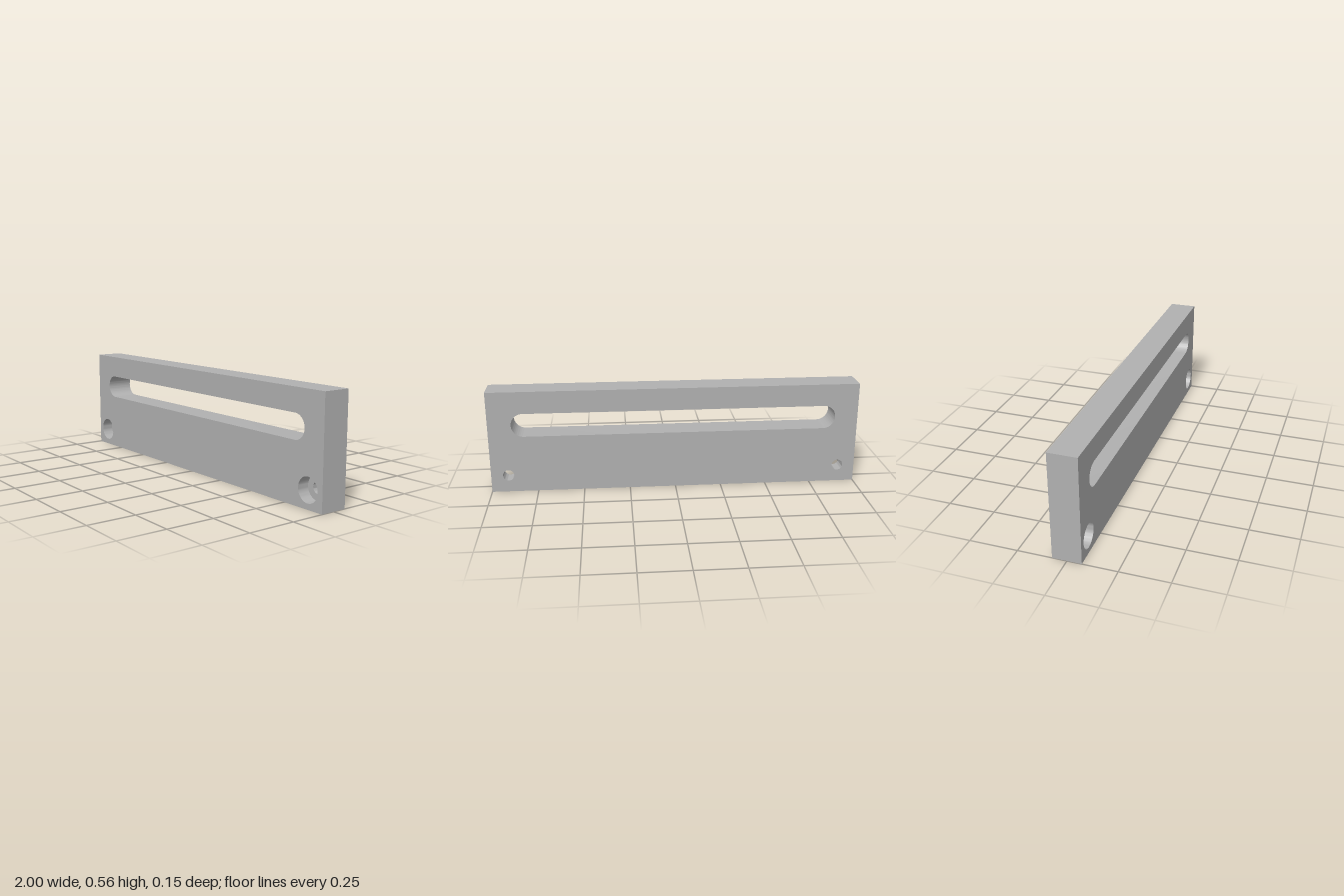
import * as THREE from 'three';
import { toCreasedNormals } from 'three/addons/utils/BufferGeometryUtils.js';

const HEIGHT = 0.563, DEPTH = 0.148, HALF = DEPTH / 2;
const SLOT = { x: 0.812, y: 0.378, r: 0.064 };
const HOLE = { x: 0.906, y: 0.094, bore: 0.064, drill: 0.03, depth: 0.065 };
const SEGMENTS = 24;

// Rectangular outline with the rounded slot cut out
function slottedOutline() {
  const shape = new THREE.Shape([
    new THREE.Vector2(-1, 0), new THREE.Vector2(1, 0),
    new THREE.Vector2(1, HEIGHT), new THREE.Vector2(-1, HEIGHT),
  ]);
  const slot = new THREE.Path();
  slot.absarc(SLOT.x, SLOT.y, SLOT.r, -Math.PI / 2, Math.PI / 2, false);
  slot.absarc(-SLOT.x, SLOT.y, SLOT.r, Math.PI / 2, Math.PI * 1.5, false);
  slot.closePath();
  shape.holes.push(slot);
  return shape;
}

// Flat plate face, with a round opening at each lower corner
function faceGeometry(holeRadius) {
  const shape = slottedOutline();
  for (const side of [-1, 1]) {
    const hole = new THREE.Path();
    hole.absarc(side * HOLE.x, HOLE.y, holeRadius, 0, Math.PI * 2, false);
    shape.holes.push(hole);
  }
  return new THREE.ShapeGeometry(shape, SEGMENTS);
}

// Outer edges and slot walls: the side faces of an extrusion, without its caps
function wallGeometry() {
  const solid = new THREE.ExtrudeGeometry(slottedOutline(), {
    depth: DEPTH, bevelEnabled: false, curveSegments: SEGMENTS,
  });
  const { start, count } = solid.groups[1];
  const positions = solid.getAttribute('position').array.slice(start * 3, (start + count) * 3);
  const walls = new THREE.BufferGeometry();
  walls.setAttribute('position', new THREE.BufferAttribute(positions, 3));
  walls.translate(0, 0, -HALF);
  walls.computeVertexNormals();
  return toCreasedNormals(walls, 0.6);
}

// Inside of a counterbored screw hole, from the front rim to the back
function counterboreGeometry() {
  const floor = HALF - HOLE.depth;
  const profile = [
    [HOLE.bore, HALF], [HOLE.bore, floor], [HOLE.drill, floor], [HOLE.drill, -HALF],
  ].map(([r, y]) => new THREE.Vector2(r, y));
  const geometry = new THREE.LatheGeometry(profile, SEGMENTS * 2);
  geometry.rotateX(Math.PI / 2);
  return toCreasedNormals(geometry, 0.6);
}

export function createModel() {
  const model = new THREE.Group();
  model.name = 'slottedMountingPlate';
  const grey = new THREE.MeshStandardMaterial({ color: 0xb0b0b0 });
  grey.name = 'plain grey';

  const add = (name, geometry) => {
    const mesh = new THREE.Mesh(geometry, grey);
    mesh.name = name;
    model.add(mesh);
    return mesh;
  };

  // Plate
  add('frontFace', faceGeometry(HOLE.bore)).position.z = HALF;
  const back = add('backFace', faceGeometry(HOLE.drill));
  back.position.z = -HALF;
  back.rotation.y = Math.PI;
  add('edgesAndSlotWalls', wallGeometry());

  // Screw holes
  const counterbore = counterboreGeometry();
  add('leftScrewHole', counterbore).position.set(HOLE.x, HOLE.y, 0);
  add('rightScrewHole', counterbore).position.set(-HOLE.x, HOLE.y, 0);
  return model;
}
